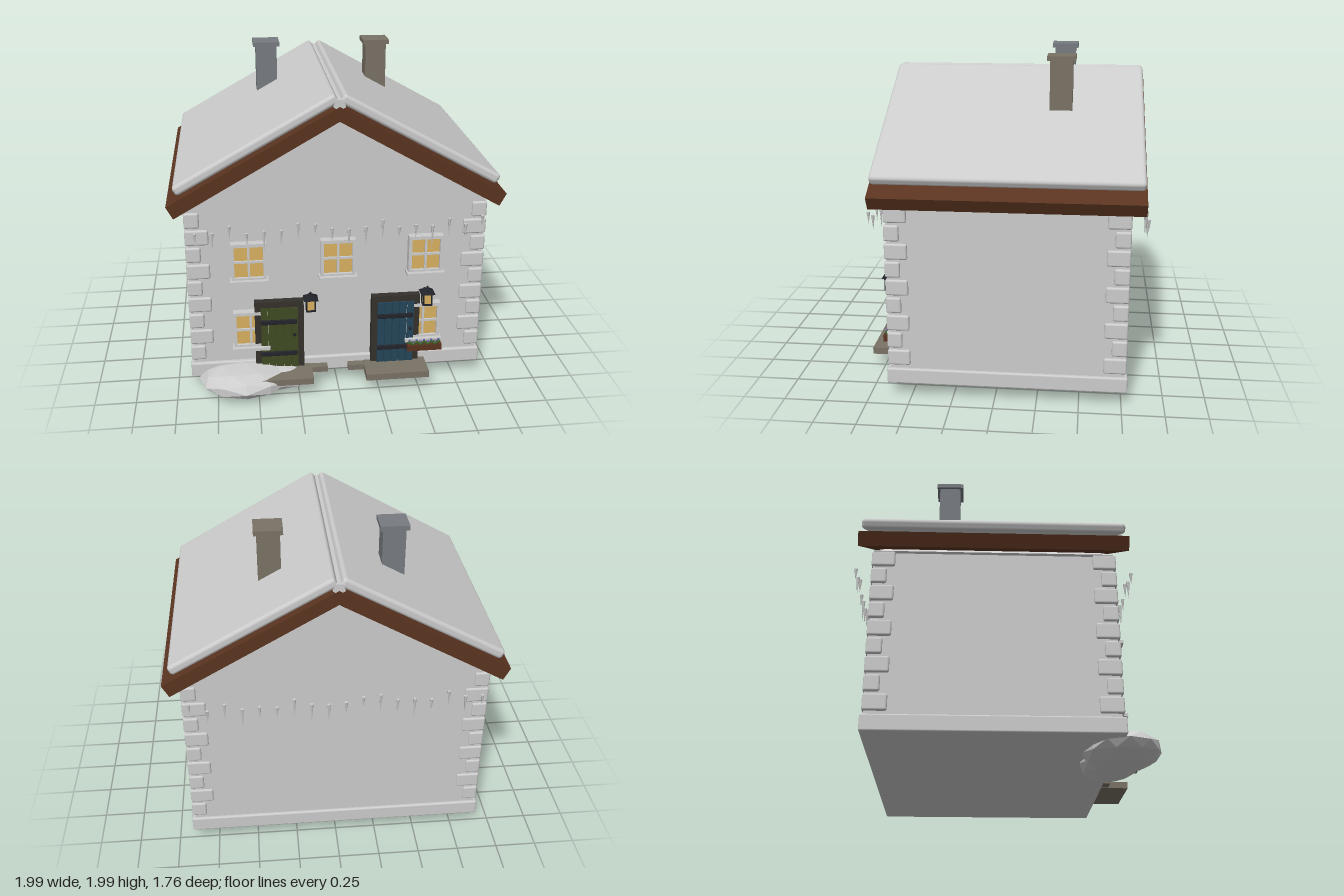
import * as THREE from 'three';
import { RoundedBoxGeometry } from 'three/addons/geometries/RoundedBoxGeometry.js';

const mat = (color = 0xcccccc) => new THREE.MeshStandardMaterial({ color });
const grey = mat(), timber = mat(0x5a3420), dark = mat(0x35302b), iron = mat(0x22242a);
const glass = mat(0xd9b05f), stone = mat(0x7a7265), slate = mat(0x777b80), leaf = mat(0x3f6b2f);
const snow = new THREE.MeshStandardMaterial({ color: 0xcccccc, flatShading: true });
const Z0 = -0.07; // middle of the house in depth

function add(parent, name, geometry, material, x = 0, y = 0, z = 0) {
  const m = new THREE.Mesh(geometry, material);
  m.name = name;
  m.position.set(x, y, z);
  parent.add(m);
  return m;
}
const box = (parent, name, w, h, d, material, x, y, z) =>
  add(parent, name, new THREE.BoxGeometry(w, h, d), material, x, y, z);
const rbox = (parent, name, w, h, d, r, material, x, y, z) =>
  add(parent, name, new RoundedBoxGeometry(w, h, d, 2, r), material, x, y, z);
function group(parent, name, x = 0, y = 0, z = 0) {
  const g = new THREE.Group();
  g.name = name;
  g.position.set(x, y, z);
  parent.add(g);
  return g;
}

// Prism along z from an outline in x and y
function prism(points, z0, z1) {
  const shape = new THREE.Shape(points.map(p => new THREE.Vector2(...p)));
  const g = new THREE.ExtrudeGeometry(shape, { depth: z1 - z0, bevelEnabled: false });
  return g.translate(0, 0, z0);
}

// Four-pane window with sill; origin at its centre on the wall
function windowUnit(parent, x, y) {
  const g = group(parent, 'window', x, y, 0.62);
  box(g, 'windowPane', 0.19, 0.22, 0.03, glass, 0, 0, 0.015);
  for (const s of [-1, 1]) {
    box(g, 'windowJamb', 0.02, 0.235, 0.05, grey, s * 0.096, 0, 0.025);
    box(g, 'windowRail', 0.212, 0.02, 0.05, grey, 0, s * 0.11, 0.025);
  }
  box(g, 'windowMullion', 0.014, 0.22, 0.04, grey, 0, 0, 0.022);
  box(g, 'windowTransom', 0.19, 0.014, 0.04, grey, 0, 0, 0.022);
  box(g, 'windowSill', 0.23, 0.02, 0.075, grey, 0, -0.122, 0.038);
}

// Planked door with frame, strap hinges and knob
function door(parent, x, color) {
  const g = group(parent, 'door', x, 0.14, 0.62);
  const paint = mat(color);
  for (const s of [-1, 1]) box(g, 'doorJamb', 0.04, 0.46, 0.045, dark, s * 0.13, 0.23, 0.0225);
  box(g, 'doorLintel', 0.3, 0.04, 0.045, dark, 0, 0.44, 0.0225);
  box(g, 'doorBacking', 0.23, 0.42, 0.04, paint, 0, 0.21, 0.02);
  for (let i = -2; i <= 2; i++) box(g, 'doorPlank', 0.042, 0.42, 0.056, paint, i * 0.046, 0.21, 0.028);
  for (const y of [0.11, 0.33]) rbox(g, 'doorStrap', 0.22, 0.03, 0.014, 0.005, iron, -0.005, y, 0.062);
  add(g, 'doorKnob', new THREE.SphereGeometry(0.011, 10, 8), iron, 0.09, 0.24, 0.066);
}

// Wall lantern with pyramid roof
function lantern(parent, x) {
  const g = group(parent, 'lantern', x, 0.59, 0.69);
  box(g, 'lanternGlass', 0.046, 0.07, 0.046, glass);
  for (const sx of [-1, 1]) for (const sz of [-1, 1])
    box(g, 'lanternPost', 0.008, 0.08, 0.008, iron, sx * 0.025, 0, sz * 0.025);
  box(g, 'lanternBase', 0.06, 0.01, 0.06, iron, 0, -0.037, 0);
  const roof = add(g, 'lanternRoof', new THREE.ConeGeometry(0.062, 0.035, 4), iron, 0, 0.055, 0);
  roof.rotation.y = Math.PI / 4;
  add(g, 'lanternFinial', new THREE.SphereGeometry(0.007, 8, 6), iron, 0, 0.074, 0);
  box(g, 'lanternBracket', 0.012, 0.012, 0.06, iron, 0, 0.03, -0.045);
}

function flowerBox(parent) {
  const g = group(parent, 'flowerBox', 0.54, 0.255, 0.695);
  box(g, 'planter', 0.215, 0.04, 0.055, timber);
  const petals = [mat(0x5a5fa8), mat(0x8a6ab0)];
  for (let i = 0; i < 9; i++) {
    const x = -0.092 + i * 0.023, z = (i % 2 ? 1 : -1) * 0.009;
    add(g, 'foliage', new THREE.IcosahedronGeometry(0.016, 1), leaf, x, 0.026, z);
    add(g, 'blossom', new THREE.IcosahedronGeometry(0.008, 1), petals[i % 2], x, 0.041, z + 0.008);
  }
}

function chimney(parent, x, material) {
  const g = group(parent, 'chimney', x, 0, -0.352);
  box(g, 'chimneyShaft', 0.135, 0.4, 0.135, material, 0, 1.765, 0);
  box(g, 'chimneyCap', 0.17, 0.028, 0.17, material, 0, 1.977, 0);
}

export function createModel() {
  const house = new THREE.Group();
  house.name = 'house';

  // Plinth, walls and gables in one five-sided prism
  rbox(house, 'plinth', 1.82, 0.096, 1.425, 0.01, grey, 0, 0.138, Z0);
  add(house, 'walls', prism(
    [[-0.89, 0.12], [0.89, 0.12], [0.89, 1.18], [0.9, 1.19], [0, 1.76], [-0.9, 1.19], [-0.89, 1.18]],
    -0.765, 0.62), grey);

  // Corner stones, long and short by turns
  const quoins = group(house, 'cornerStones');
  for (let i = 0; i < 9; i++) {
    const long = i % 2 === 1;
    const w = long ? 0.14 : 0.09, d = long ? 0.09 : 0.135;
    for (const sx of [-1, 1]) for (const sz of [-1, 1])
      rbox(quoins, 'cornerStone', w, 0.096, d, 0.012, grey,
        sx * (0.905 - w / 2), 1.14 - i * 0.1105, Z0 + sz * (0.705 - d / 2));
  }

  // Timber roof and the snow slabs lying on it
  add(house, 'roofTimber', prism(
    [[0, 1.82], [-0.995, 1.262], [-0.955, 1.187], [0, 1.735], [0.955, 1.187], [0.995, 1.262]],
    -0.85, 0.705), timber);
  for (const s of [-1, 1]) {
    const slab = rbox(house, 'roofSnow', 1.068, 0.062, 1.54, 0.022, grey, s * 0.48, 1.605, -0.073);
    slab.rotation.z = -s * 0.511;
  }
  const ridge = add(house, 'ridgeCap', new THREE.CylinderGeometry(0.037, 0.037, 1.55, 5), snow, 0, 1.83, -0.073);
  ridge.rotation.x = Math.PI / 2;
  chimney(house, -0.36, slate);
  chimney(house, 0.36, stone);

  // Doors, windows and their fittings
  for (const x of [-0.535, 0, 0.535]) windowUnit(house, x, 0.873);
  for (const x of [-0.535, 0.535]) windowUnit(house, x, 0.417);
  door(house, -0.36, 0x3f4a22);
  door(house, 0.36, 0x24465a);
  lantern(house, -0.17);
  lantern(house, 0.547);
  flowerBox(house);

  // Steps before each door, with a small slab beside each
  for (const s of [-1, 1]) {
    box(house, 'doorStep', 0.39, 0.042, 0.2, stone, s * 0.358, 0.122, 0.715);
    box(house, 'sideSlab', 0.1, 0.036, 0.07, stone, s * 0.115, 0.122, 0.655);
  }

  // Heaped snow by the left-hand door
  const heaps = [[-0.575, 0.093, 0.66, 0.29, 0.09, 0.225], [-0.4, 0.085, 0.62, 0.28, 0.08, 0.18]];
  for (const [x, y, z, rx, ry, rz] of heaps)
    add(house, 'snowHeap', new THREE.IcosahedronGeometry(1, 1), snow, x, y, z).scale.set(rx, ry, rz);

  // Icicles under both gable ends: top and length in hundredths
  const icicles = group(house, 'icicles');
  const tops = [110, 110, 114, 109, 110, 110, 114, 113, 110, 109, 110, 114, 109, 110, 109, 113, 109, 114];
  const lengths = [7, 11, 9, 8, 14, 10, 12, 7, 9, 13, 12, 13, 7, 9, 14, 11, 9, 7];
  for (const z of [0.727, -0.868]) tops.forEach((top, i) => {
    const l = lengths[i] / 100;
    const c = add(icicles, 'icicle', new THREE.ConeGeometry(0.011, l, 6), grey,
      -0.84 + i * 0.0995, top / 100 - l / 2, z);
    c.rotation.x = Math.PI;
  });
  return house;
}
